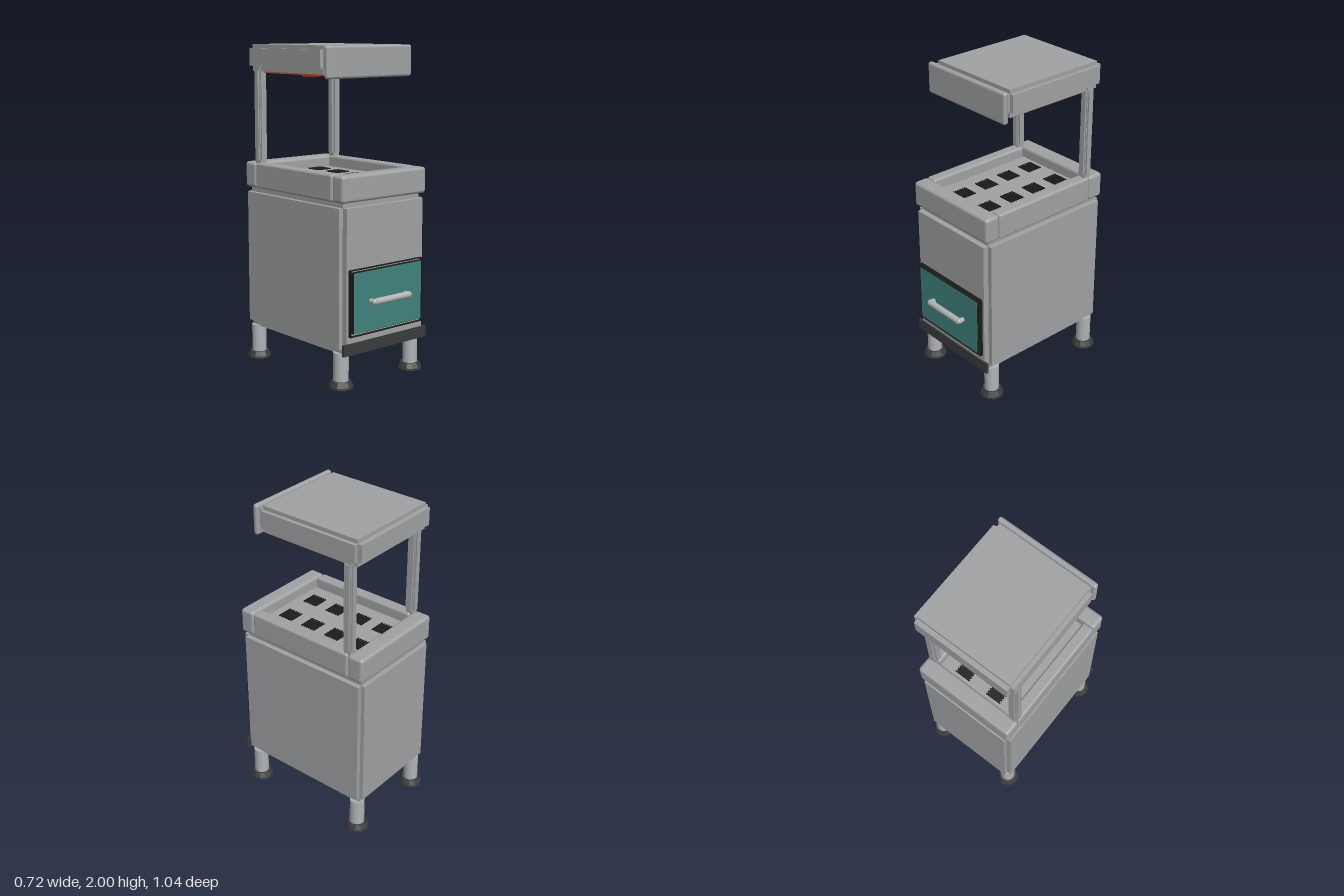
import * as THREE from 'three';
import { RoundedBoxGeometry } from 'three/addons/geometries/RoundedBoxGeometry.js';

function material(name, color) {
  const m = new THREE.MeshStandardMaterial({ color });
  m.name = name;
  return m;
}

export function createModel() {
  const model = new THREE.Group();
  model.name = 'foodWarmingCounter';

  const steel = material('brushed steel', 0xa0a2a3);
  const lightSteel = material('light steel', 0xb0b3b5);
  const darkGrey = material('dark grey', 0x3a3d3d);
  const black = material('black', 0x1c1c1c);
  const teal = material('teal', 0x40827e);
  const heat = material('heater red', 0xc55640);

  function add(name, geometry, mat, x = 0, y = 0, z = 0) {
    const mesh = new THREE.Mesh(geometry, mat);
    mesh.name = name;
    mesh.position.set(x, y, z);
    model.add(mesh);
    return mesh;
  }
  // Boxes given by their minimum and maximum on each axis
  function box(name, mat, x0, x1, y0, y1, z0, z1, radius = 0) {
    const w = x1 - x0, h = y1 - y0, d = z1 - z0;
    const geometry = radius
      ? new RoundedBoxGeometry(w, h, d, 3, radius)
      : new THREE.BoxGeometry(w, h, d);
    return add(name, geometry, mat, (x0 + x1) / 2, (y0 + y1) / 2, (z0 + z1) / 2);
  }
  // Open rectangular tube of thin walls facing the front
  function walls(name, x, y0, y1, z0, z1, t) {
    for (const s of [-1, 1]) {
      const a = s * x, b = s * (x - t);
      box(name + 'Side', black, Math.min(a, b), Math.max(a, b), y0, y1, z0, z1);
    }
    box(name + 'Bottom', black, -x, x, y0, y0 + t, z0, z1);
    box(name + 'Top', black, -x, x, y1 - t, y1, z0, z1);
  }

  // Cabinet: core with panels set on each side, leaving grooved corners
  box('cabinetCore', steel, -0.305, 0.305, 0.21, 1.2, -0.475, 0.405);
  box('frontPanel', steel, -0.305, 0.305, 0.245, 1.08, 0.4, 0.44);
  box('backPanel', steel, -0.305, 0.305, 0.245, 1.08, -0.5, -0.47);
  box('leftPanel', steel, 0.3, 0.335, 0.245, 1.08, -0.475, 0.405);
  box('rightPanel', steel, -0.335, -0.3, 0.245, 1.08, -0.475, 0.405);
  box('kickPlate', darkGrey, -0.335, 0.335, 0.21, 0.28, 0.435, 0.45);

  // Legs with flared feet
  const footProfile = [[0, 0], [0.075, 0], [0.073, 0.012], [0.058, 0.042], [0, 0.042]]
    .map(([r, y]) => new THREE.Vector2(r, y));
  const footMat = darkGrey;
  for (const x of [-0.284, 0.284]) {
    for (const z of [-0.443, 0.366]) {
      add('leg', new THREE.CylinderGeometry(0.046, 0.046, 0.18, 24), lightSteel, x, 0.125, z);
      const foot = new THREE.LatheGeometry(footProfile, 12).toNonIndexed();
      foot.computeVertexNormals();
      add('foot', foot, footMat, x, 0, z);
    }
  }

  // Padded rim around the tray
  box('frontRim', steel, -0.335, 0.335, 1.11, 1.27, 0.34, 0.44, 0.02);
  box('backRim', steel, -0.335, 0.335, 1.11, 1.27, -0.5, -0.392, 0.02);
  for (const s of [-1, 1]) {
    add('sideRim', new RoundedBoxGeometry(0.075, 0.16, 0.73, 3, 0.015), steel,
      s * 0.2975, 1.19, -0.026);
  }

  // Vents in the tray: slats crossing a thin plate
  for (const x of [-0.115, 0.115]) {
    for (const z of [-0.31, -0.13, 0.05, 0.23]) {
      box('ventPlate', black, x - 0.045, x + 0.045, 1.199, 1.203, z - 0.05, z + 0.05);
      for (let i = 0; i < 6; i++) {
        add('ventSlat', new THREE.BoxGeometry(0.104, 0.006, 0.009), black,
          x, 1.204, z - 0.045 + i * 0.018);
      }
    }
  }

  // Drawer: outer seal, inner seal and coloured face
  walls('outerSeal', 0.29, 0.32, 0.72, 0.438, 0.46, 0.004);
  walls('innerSeal', 0.274, 0.34, 0.705, 0.438, 0.466, 0.004);
  box('drawerBody', black, -0.27, 0.27, 0.344, 0.701, 0.438, 0.462);
  box('drawerFace', teal, -0.272, 0.272, 0.342, 0.703, 0.46, 0.468);

  // Handle bar on two stubs
  const bar = add('handleBar', new THREE.CylinderGeometry(0.02, 0.02, 0.276, 20), lightSteel, 0, 0.52, 0.5);
  bar.rotation.z = Math.PI / 2;
  for (const x of [-0.14, 0.14]) {
    const stub = add('handleStub', new THREE.CylinderGeometry(0.016, 0.016, 0.035, 16), lightSteel, x, 0.52, 0.483);
    stub.rotation.x = Math.PI / 2;
    add('handleEnd', new THREE.SphereGeometry(0.018, 16, 10), lightSteel, x, 0.52, 0.499);
  }

  // Posts with a grooved, cross-shaped section
  for (const s of [-1, 1]) {
    const x = s * 0.298, z = -0.381;
    add('postCore', new THREE.BoxGeometry(0.046, 0.7, 0.046), steel, x, 1.61, z);
    add('postSidePlates', new THREE.BoxGeometry(0.065, 0.55, 0.034), steel, x, 1.565, z);
    add('postFacePlates', new THREE.BoxGeometry(0.034, 0.55, 0.065), steel, x, 1.565, z);
  }

  // Hood: core with raised panels and a front visor
  box('hoodCore', steel, -0.311, 0.311, 1.835, 2, -0.438, 0.243);
  box('hoodSidePanels', steel, -0.335, 0.335, 1.868, 1.976, -0.438, 0.243);
  box('hoodEndPanels', steel, -0.311, 0.311, 1.868, 1.976, -0.467, 0.275);
  box('visor', steel, -0.335, 0.335, 1.81, 2, 0.27, 0.305, 0.016);

  // Heater plate and lamps under the hood
  box('heaterPlate', heat, -0.3, 0.3, 1.826, 1.836, -0.335, 0.23);
  for (const x of [-0.17, 0.17]) {
    add('heatLamp', new THREE.CylinderGeometry(0.066, 0.046, 0.022, 24), heat, x, 1.819, -0.047);
  }

  return model;
}
